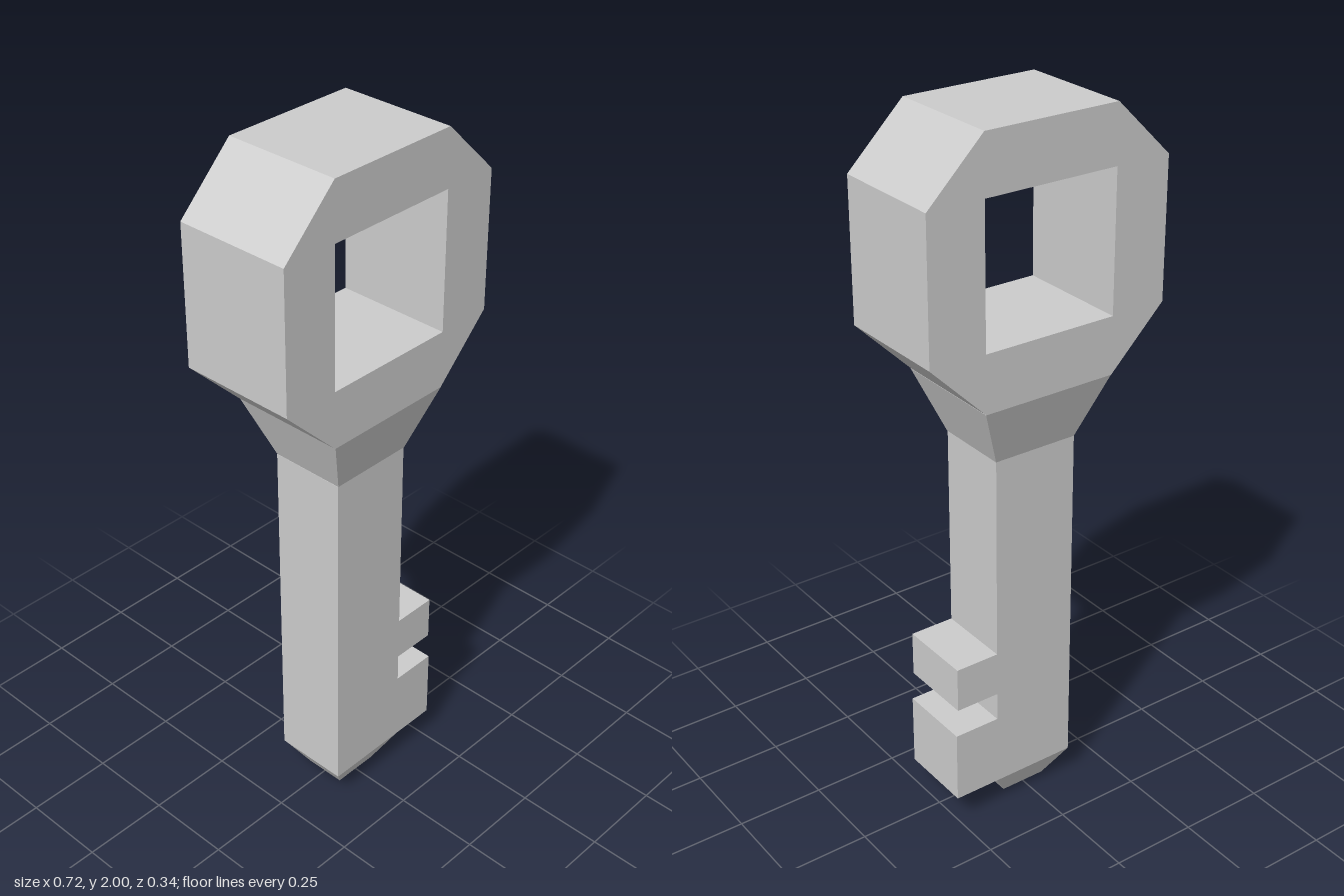
import * as THREE from 'three';

const material = new THREE.MeshStandardMaterial({ color: 0xcccccc, flatShading: true });

const toPoints = (pairs) => pairs.map(([x, y]) => new THREE.Vector2(x, y));

// Flat outline with optional hole, extruded evenly about z = 0
function slab(name, outline, depth, hole) {
  const shape = new THREE.Shape(toPoints(outline));
  if (hole) shape.holes.push(new THREE.Path(toPoints(hole)));
  const geometry = new THREE.ExtrudeGeometry(shape, { depth, bevelEnabled: false });
  geometry.translate(0, 0, -depth / 2);
  const mesh = new THREE.Mesh(geometry, material);
  mesh.name = name;
  return mesh;
}

// Rectangular block whose bottom and top differ in half-width and half-depth
function taper(name, y0, [w0, d0], y1, [w1, d1]) {
  const geometry = new THREE.BoxGeometry(2, 1, 2);
  const p = geometry.attributes.position;
  for (let i = 0; i < p.count; i++) {
    const top = p.getY(i) > 0;
    p.setXYZ(i, p.getX(i) * (top ? w1 : w0), top ? y1 : y0, p.getZ(i) * (top ? d1 : d0));
  }
  geometry.computeVertexNormals();
  const mesh = new THREE.Mesh(geometry, material);
  mesh.name = name;
  return mesh;
}

export function createModel() {
  const key = new THREE.Group();
  key.name = 'key';

  // Eight-sided handle with a square opening
  key.add(slab('bow',
    [[-0.197, 1.285], [0.195, 1.285], [0.358, 1.448], [0.358, 1.84],
      [0.195, 2], [-0.197, 2], [-0.36, 1.84], [-0.36, 1.448]],
    0.336,
    [[-0.197, 1.448], [-0.197, 1.84], [0.195, 1.84], [0.195, 1.448]]));

  // Neck narrowing from the handle to the shaft
  key.add(taper('neck', 1.107, [0.125, 0.11], 1.285, [0.196, 0.168]));

  // Shaft and its two teeth share one silhouette
  key.add(slab('shaftWithTeeth',
    [[-0.126, 0.09], [0.26, 0.09], [0.26, 0.303], [0.124, 0.303], [0.124, 0.387],
      [0.254, 0.387], [0.254, 0.518], [0.124, 0.518], [0.124, 1.107], [-0.126, 1.107]],
    0.218));

  // Chamfered end
  key.add(taper('tip', 0, [0.068, 0.06], 0.09, [0.125, 0.109]));

  return key;
}
